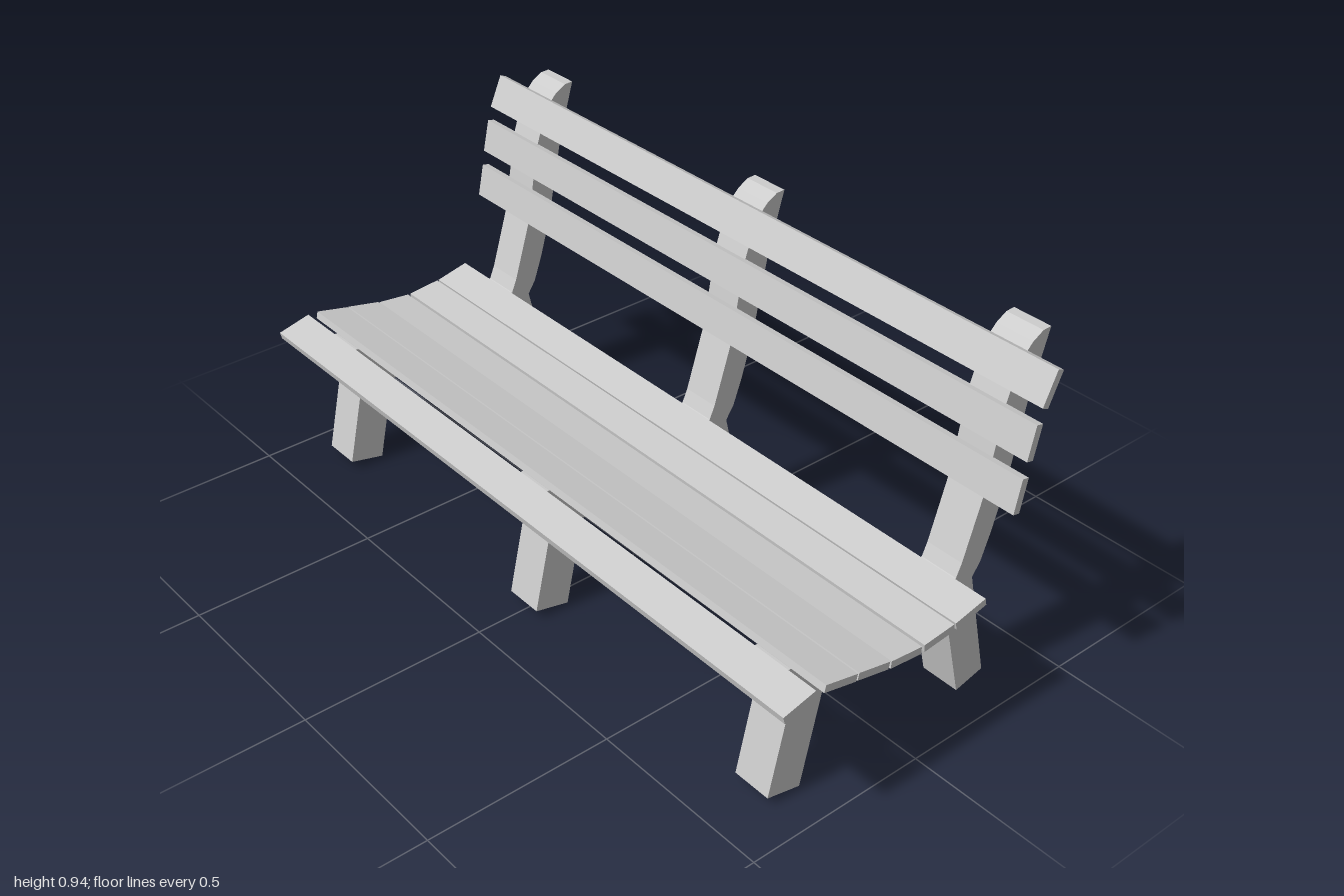
import * as THREE from 'three';

const material = new THREE.MeshStandardMaterial({ color: 0xcccccc, flatShading: true });
const FRAME_WIDTH = 0.106;

// Side outline extruded along z and centred on z = 0
function plate(name, points, width) {
  const shape = new THREE.Shape(points.map(([x, y]) => new THREE.Vector2(x, y)));
  const geometry = new THREE.ExtrudeGeometry(shape, { depth: width, bevelEnabled: false });
  geometry.translate(0, 0, -width / 2);
  const mesh = new THREE.Mesh(geometry, material);
  mesh.name = name;
  return mesh;
}

// Full-length board whose exposed face runs from p to q in side profile
function slat(name, [px, py], [qx, qy], thickness = 0.02) {
  const dx = qx - px, dy = qy - py, len = Math.hypot(dx, dy);
  const mesh = new THREE.Mesh(new THREE.BoxGeometry(len, thickness, 2), material);
  mesh.position.set(
    (px + qx) / 2 + (dy / len) * thickness / 2,
    (py + qy) / 2 - (dx / len) * thickness / 2, 0);
  mesh.rotation.z = Math.atan2(dy, dx);
  mesh.name = name;
  return mesh;
}

function createFrame() {
  const frame = new THREE.Group();
  frame.name = 'supportFrame';

  // Front leg, seat bearer, back leg and curved back post in one outline
  frame.add(plate('legsAndBackPost', [
    [-0.36, 0.025], [-0.263, 0.004], [-0.195, 0.318], [-0.11, 0.3], [0, 0.294], [0.09, 0.3], [0.17, 0.314],
    [0.25, 0], [0.335, 0.022], [0.26, 0.335], [0.283, 0.37], [0.308, 0.44], [0.34, 0.55],
    [0.385, 0.78], [0.43, 0.938], [0.405, 0.937], [0.375, 0.92], [0.35, 0.895], [0.333, 0.865],
    [0.305, 0.78], [0.268, 0.56], [0.218, 0.395], [0.203, 0.36], [0.18, 0.35], [0.085, 0.328],
    [-0.01, 0.318], [-0.11, 0.329], [-0.21, 0.35], [-0.31, 0.371], [-0.335, 0.371], [-0.41, 0.352],
    [-0.405, 0.33], [-0.325, 0.346], [-0.29, 0.34],
  ], FRAME_WIDTH));

  // Curved rail between the legs, narrowing towards its underside
  const rail = plate('seatRail', [
    [-0.213, 0.228], [-0.115, 0.211], [-0.015, 0.203], [0.095, 0.214], [0.193, 0.228],
    [0.17, 0.314], [0.09, 0.3], [0, 0.294], [-0.11, 0.3], [-0.195, 0.318],
  ], FRAME_WIDTH - 0.004);
  const pos = rail.geometry.attributes.position;
  for (let i = 0; i < pos.count; i++) {
    if (pos.getY(i) < 0.25) pos.setZ(i, pos.getZ(i) * 0.65);
  }
  rail.geometry.computeVertexNormals();
  frame.add(rail);
  return frame;
}

export function createModel() {
  const bench = new THREE.Group();
  bench.name = 'bench';

  // Three identical support frames
  for (const z of [-0.845, 0, 0.845]) {
    const frame = createFrame();
    frame.position.z = z;
    bench.add(frame);
  }

  // Seat boards, front to back
  const seat = [
    [[-0.427, 0.37], [-0.335, 0.393]],
    [[-0.306, 0.392], [-0.211, 0.371]],
    [[-0.207, 0.371], [-0.112, 0.351]],
    [[-0.107, 0.349], [-0.012, 0.339]],
    [[-0.004, 0.339], [0.089, 0.349]],
    [[0.094, 0.349], [0.188, 0.371]],
  ];
  seat.forEach(([p, q], i) => bench.add(slat(`seatSlat${i + 1}`, p, q)));

  // Backrest boards, bottom to top
  const back = [
    [[0.248, 0.572], [0.266, 0.66]],
    [[0.272, 0.702], [0.291, 0.79]],
    [[0.302, 0.828], [0.339, 0.912]],
  ];
  back.forEach(([p, q], i) => bench.add(slat(`backSlat${i + 1}`, p, q)));

  // Very slight turn of the whole bench
  bench.rotation.y = -0.005;
  const model = new THREE.Group();
  model.name = 'parkBench';
  model.add(bench);
  return model;
}
